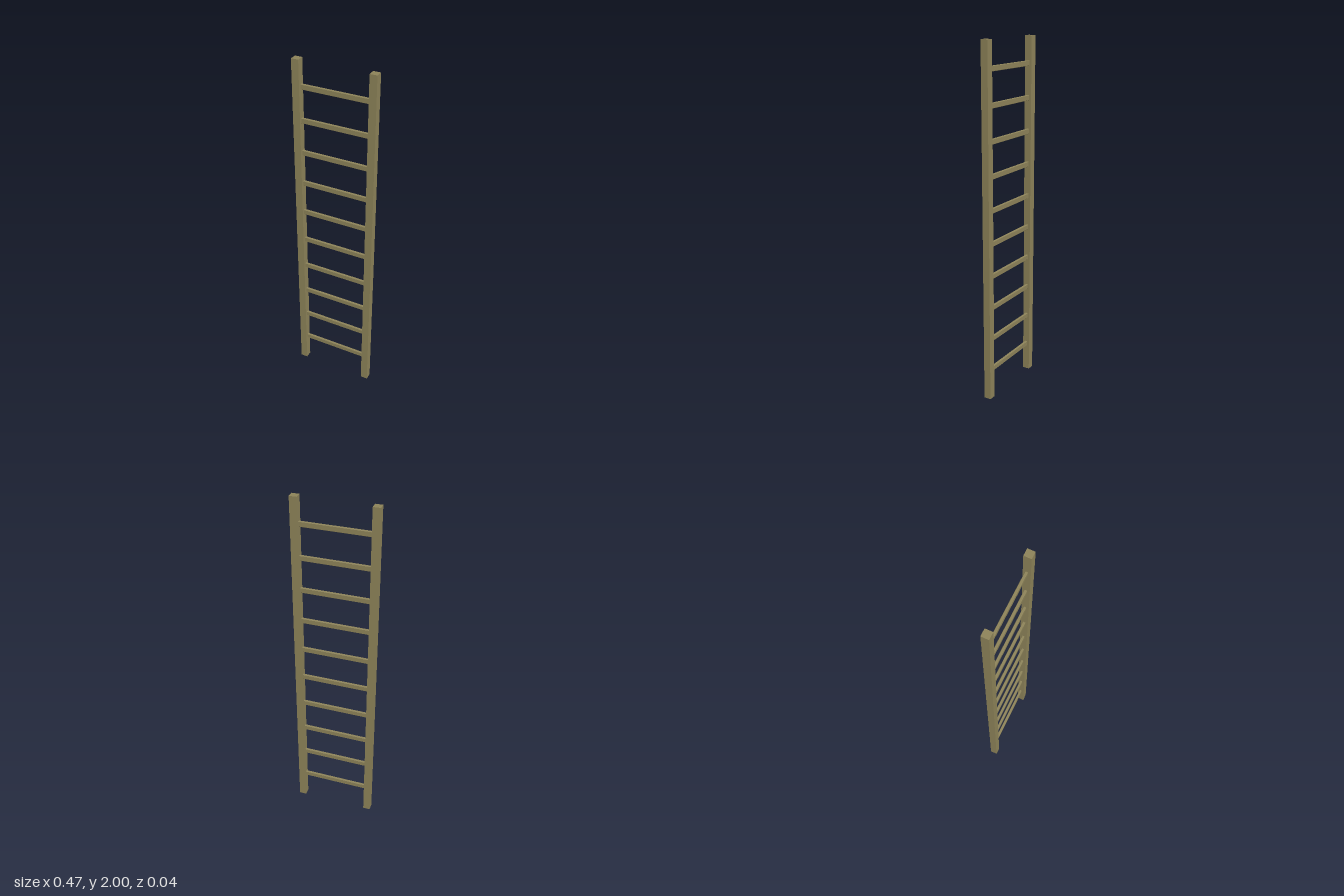
import * as THREE from 'three';

export function createModel() {
  const ladder = new THREE.Group();
  ladder.name = 'ladder';
  const wood = new THREE.MeshStandardMaterial({ color: 0x8c8258, flatShading: true });

  // Two square side rails
  const railSize = 0.041, railX = 0.212;
  const railGeometry = new THREE.BoxGeometry(railSize, 2, railSize);
  for (const side of [-1, 1]) {
    const rail = new THREE.Mesh(railGeometry, wood);
    rail.name = side > 0 ? 'leftRail' : 'rightRail';
    rail.position.set(side * railX, 1, 0);
    ladder.add(rail);
  }

  // Rung cross-section: a tall, narrow bar with slightly cut corners
  const h = 0.0145, d = 0.007, c = 0.002;
  const section = new THREE.Shape([
    [d, c - h], [d, h - c], [d - c, h], [c - d, h],
    [-d, h - c], [-d, c - h], [c - d, -h], [d - c, -h],
  ].map(([x, y]) => new THREE.Vector2(x, y)));

  // Ten evenly spaced rungs, let slightly into the rails
  const length = 0.39;
  const rungGeometry = new THREE.ExtrudeGeometry(section, { depth: length, bevelEnabled: false });
  rungGeometry.translate(0, 0, -length / 2).rotateY(Math.PI / 2);
  for (let i = 0; i < 10; i++) {
    const rung = new THREE.Mesh(rungGeometry, wood);
    rung.name = `rung${i + 1}`;
    rung.position.set(0, 0.17 + i * 0.187, -0.001);
    ladder.add(rung);
  }

  return ladder;
}
